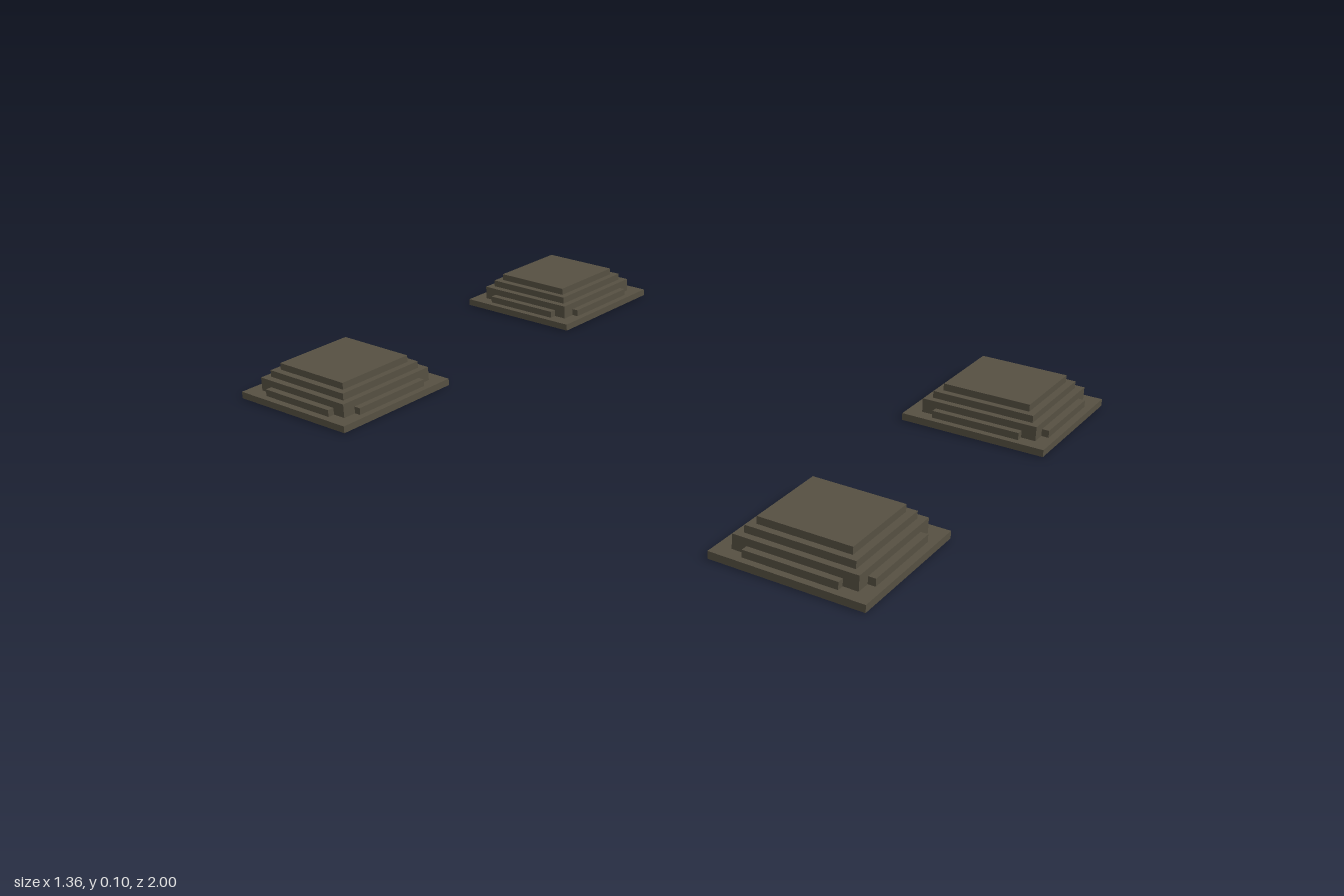
import * as THREE from 'three';

const STEP = 0.02; // height and inset of every tier
const TOP = 0.125; // half width of the top slab

// Closed outline made by turning one corner's points through four quarters
function outline(corner) {
  const pts = [];
  for (let q = 0; q < 4; q++) {
    for (const [x, y] of corner) {
      const c = [1, 0, -1, 0][q], s = [0, 1, 0, -1][q];
      pts.push(new THREE.Vector2(x * c - y * s, x * s + y * c));
    }
  }
  return pts;
}

const square = (h) => outline([[h, h]]);
// Square core with a shallow bar standing out on each side
const barred = (h, core) => outline([[h, TOP], [core, TOP], [core, core], [TOP, core], [TOP, h]]);

// One tier, one step thick, optionally hollow
function tier(outer, inner, level) {
  const shape = new THREE.Shape(outer);
  if (inner) shape.holes.push(new THREE.Path(inner));
  const geo = new THREE.ExtrudeGeometry(shape, { depth: STEP, bevelEnabled: false });
  geo.rotateX(-Math.PI / 2);
  geo.translate(0, level * STEP, 0);
  return geo;
}

export function createModel() {
  const model = new THREE.Group();
  model.name = 'steppedFeet';
  const stone = new THREE.MeshStandardMaterial({ color: 0x565042 });
  stone.name = 'dark olive stone';

  // Tiers from the ground up, each hollow beneath the next
  const tiers = [
    ['basePlate', tier(square(0.205), barred(0.182, 0.162), 0)],
    ['barredTier', tier(barred(0.185, 0.165), square(0.161), 1)],
    ['middleTier', tier(square(0.165), square(0.142), 2)],
    ['upperTier', tier(square(0.145), square(0.122), 3)],
    ['topSlab', tier(square(TOP), null, 4)],
  ];

  // Four identical feet
  for (const sx of [-1, 1]) {
    for (const sz of [-1, 1]) {
      const foot = new THREE.Group();
      foot.name = (sz > 0 ? 'front' : 'back') + (sx > 0 ? 'Left' : 'Right') + 'Foot';
      for (const [name, geo] of tiers) {
        const mesh = new THREE.Mesh(geo, stone);
        mesh.name = name;
        foot.add(mesh);
      }
      foot.position.set(sx * 0.475, 0, sz * 0.795);
      model.add(foot);
    }
  }
  return model;
}
